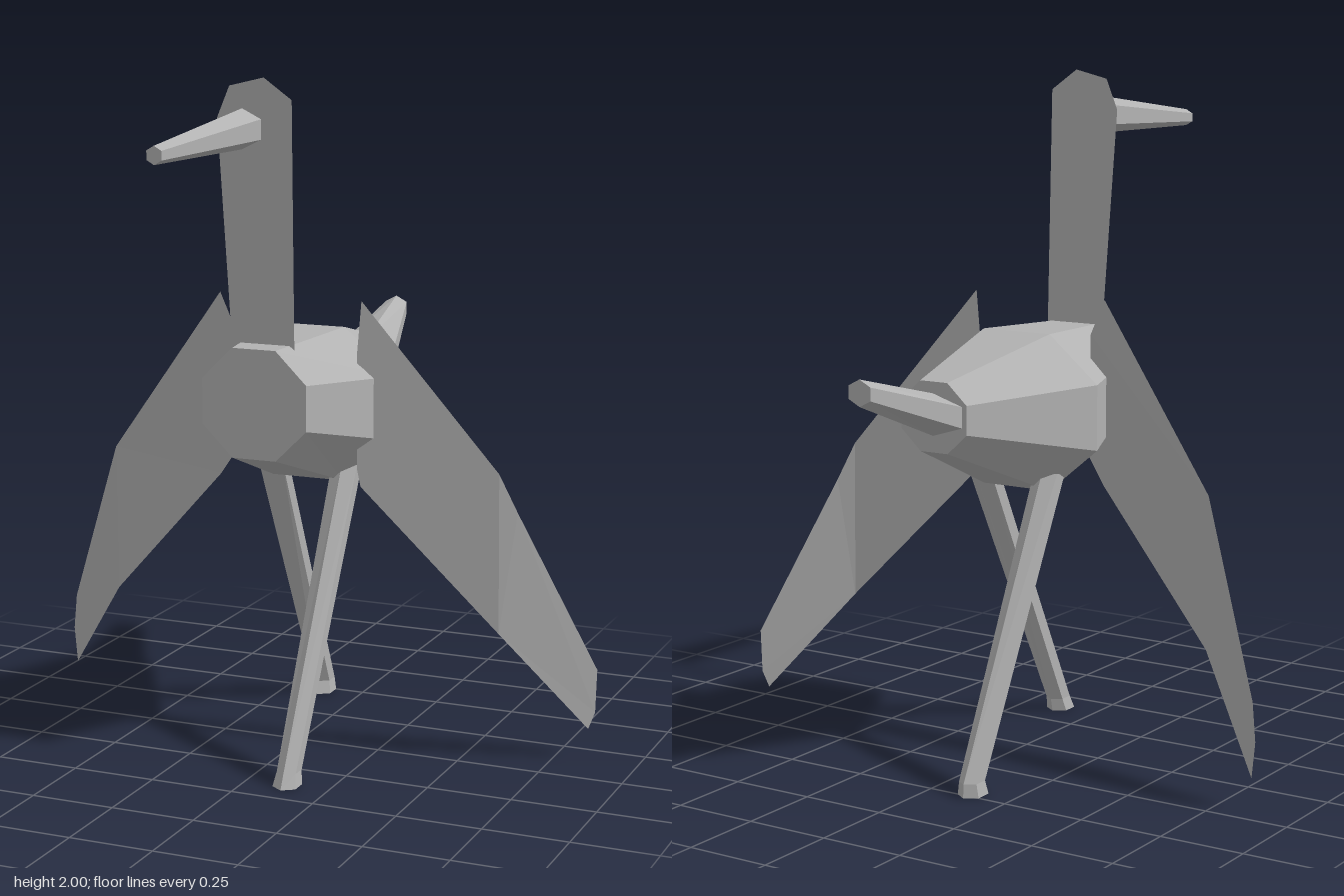
import * as THREE from 'three';

const grey = new THREE.MeshStandardMaterial({ color: 0xb2b2b2, flatShading: true, side: THREE.DoubleSide });
grey.name = 'grey';

// Capped tube through elliptical polygon rings [x, y, z, ru, rv], listed along +z or +y.
function loft(name, rings, sides, axis, start) {
  const pos = [], idx = [];
  for (const [x, y, z, ru, rv] of rings) {
    for (let j = 0; j < sides; j++) {
      const a = start + (j / sides) * Math.PI * 2;
      const u = ru * Math.cos(a), v = rv * Math.sin(a);
      if (axis === 'z') pos.push(x + u, y + v, z);
      else pos.push(x + v, y, z + u);
    }
  }
  for (let i = 0; i < rings.length - 1; i++) {
    for (let j = 0; j < sides; j++) {
      const k = (j + 1) % sides, a = i * sides, b = a + sides;
      idx.push(a + j, a + k, b + k, a + j, b + k, b + j);
    }
  }
  const last = (rings.length - 1) * sides;
  for (let j = 1; j < sides - 1; j++) {
    idx.push(0, j + 1, j);
    idx.push(last, last + j, last + j + 1);
  }
  const indexed = new THREE.BufferGeometry();
  indexed.setAttribute('position', new THREE.Float32BufferAttribute(pos, 3));
  indexed.setIndex(idx);
  const geo = indexed.toNonIndexed();
  geo.computeVertexNormals();
  const mesh = new THREE.Mesh(geo, grey);
  mesh.name = name;
  return mesh;
}

// Thin sheet cut to an outline, bent in depth by a rule z(x, y).
function sheet(name, points, depth) {
  const shape = new THREE.Shape(points.map(([x, y]) => new THREE.Vector2(x, y)));
  const geo = new THREE.ShapeGeometry(shape);
  const p = geo.attributes.position;
  for (let i = 0; i < p.count; i++) p.setZ(i, depth(p.getX(i), p.getY(i)));
  geo.computeVertexNormals();
  const mesh = new THREE.Mesh(geo, grey);
  mesh.name = name;
  return mesh;
}

// Wings sweep back gently to the elbow, then more sharply to the tip.
function wingDepth(x) {
  const s = Math.abs(x);
  return s < 0.62 ? 0.05 - 0.21 * (s - 0.21) : -0.036 - 0.61 * (s - 0.62);
}

function wing(name, inner, outer) {
  const group = new THREE.Group();
  group.name = name;
  group.add(sheet('innerWing', inner, wingDepth), sheet('outerWing', outer, wingDepth));
  return group;
}

export function createModel() {
  const model = new THREE.Group();
  model.name = 'wadingBird';
  const up = Math.PI / 2;

  // Octagonal body, widest at the middle
  const oct = 1 / Math.cos(Math.PI / 8);
  const bodyRings = [
    [0, 1.066, -0.475, 0.11, 0.1],
    [0, 1.028, -0.055, 0.275, 0.23],
    [0, 1.088, 0.335, 0.16, 0.158],
  ].map(([x, y, z, rx, ry]) => [x, y, z, rx * oct, ry * oct]);
  model.add(loft('body', bodyRings, 8, 'z', Math.PI / 8));

  // Tail and beak taper with a ridge on top
  model.add(loft('tail', [
    [-0.035, 1.19, -0.865, 0.041, 0.037],
    [0.003, 1.073, -0.475, 0.113, 0.06],
  ], 6, 'z', up));
  model.add(loft('beak', [
    [-0.012, 1.865, 0.38, 0.066, 0.056],
    [-0.037, 1.835, 0.87, 0.025, 0.025],
  ], 6, 'z', up));

  // Flat neck and head
  model.add(sheet('neck', [
    [-0.1, 1.2], [0.09, 1.2], [0.098, 1.94], [0.015, 2.0], [-0.09, 1.975], [-0.13, 1.885],
  ], (x, y) => 0.257 + 0.05 * (y - 1.24)));

  // Striding legs: left forward, right back
  model.add(loft('leftLeg', [
    [0.125, 0, 0.39, 0.048, 0.041],
    [0.125, 0.04, 0.375, 0.043, 0.034],
    [0.128, 0.86, -0.05, 0.043, 0.046],
  ], 6, 'y', 0));
  model.add(loft('rightLeg', [
    [-0.127, 0, -0.475, 0.05, 0.041],
    [-0.127, 0.04, -0.48, 0.043, 0.034],
    [-0.127, 0.86, -0.075, 0.043, 0.046],
  ], 6, 'y', 0));

  // Drooping wings, slightly uneven from side to side
  model.add(wing('leftWing',
    [[0.21, 1.355], [0.198, 1.2], [0.2, 0.86], [0.21, 0.81], [0.61, 0.39], [0.605, 0.865]],
    [[0.605, 0.865], [0.61, 0.39], [0.845, 0.09], [0.862, 0.14], [0.865, 0.27], [0.655, 0.75]]));
  model.add(wing('rightWing',
    [[-0.238, 1.355], [-0.185, 1.25], [-0.18, 0.89], [-0.238, 0.81], [-0.63, 0.395], [-0.635, 0.84]],
    [[-0.635, 0.84], [-0.63, 0.395], [-0.853, 0.092], [-0.868, 0.2], [-0.853, 0.31]]));

  return model;
}
